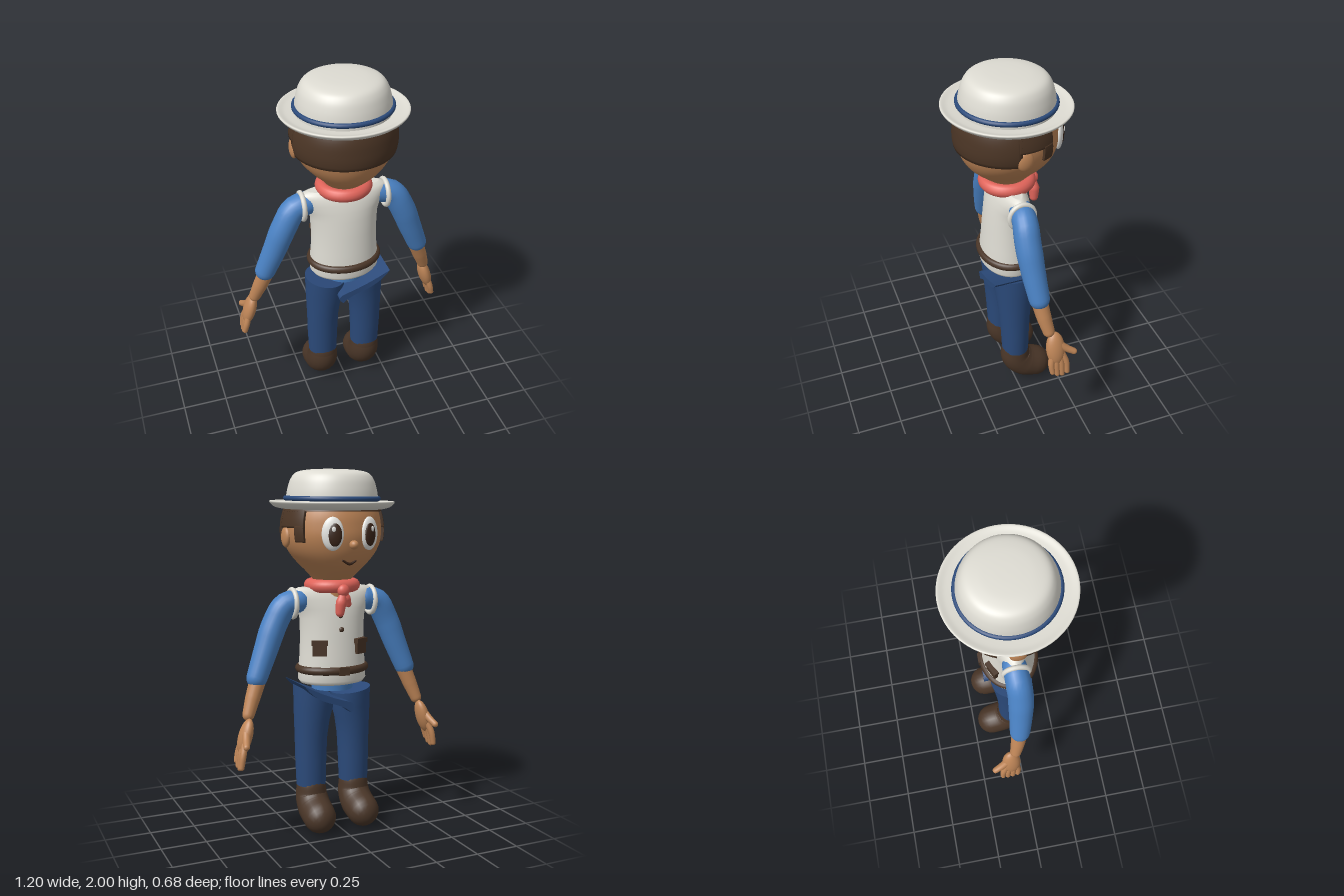
import * as THREE from 'three';
import { mergeVertices } from 'three/addons/utils/BufferGeometryUtils.js';

const V = (x, y, z) => new THREE.Vector3(x, y, z);
const paint = (name, color) => {
  const m = new THREE.MeshStandardMaterial({ color });
  m.name = name;
  return m;
};

// Smooth surface through rows of points (rows go up, columns counterclockwise)
function skin(rows) {
  const pos = [], idx = [], n = rows[0].length;
  rows.forEach(r => r.forEach(p => pos.push(p.x, p.y, p.z)));
  for (let i = 0; i < rows.length - 1; i++) for (let j = 0; j < n - 1; j++) {
    const a = i * n + j, b = a + 1, c = a + n, d = c + 1;
    idx.push(a, b, d, a, d, c);
  }
  let g = new THREE.BufferGeometry();
  g.setAttribute('position', new THREE.Float32BufferAttribute(pos, 3));
  g.setIndex(idx);
  g = mergeVertices(g, 1e-4);
  g.computeVertexNormals();
  return g;
}

// Closed body from elliptical sections [y, cx, cz, rx, rz, tilt]
function loft(sections, n = 32) {
  const ring = ([y, cx, cz, rx, rz, tilt = 0], k) => Array.from({ length: n + 1 }, (_, j) => {
    const a = (j % n) / n * Math.PI * 2, dx = k * rx * Math.sin(a);
    return V(cx + dx, y + tilt * dx, cz + k * rz * Math.cos(a));
  });
  const last = sections[sections.length - 1];
  return skin([ring(sections[0], 0), ring(sections[0], 0.99), ...sections.map(s => ring(s, 1)),
    ring(last, 0.99), ring(last, 0)]);
}

// Round-ended limb along a curve, with radii spread evenly along it
function sweep(points, radii, n = 20, steps = 20) {
  const curve = new THREE.CatmullRomCurve3(points.map(p => V(...p)));
  const f = curve.computeFrenetFrames(steps, false), rows = [];
  const ring = (i, r, push) => {
    const c = curve.getPointAt(i / steps).addScaledVector(f.tangents[i], push);
    rows.push(Array.from({ length: n + 1 }, (_, j) => {
      const a = (j % n) / n * Math.PI * 2;
      return c.clone().addScaledVector(f.normals[i], r * Math.cos(a)).addScaledVector(f.binormals[i], r * Math.sin(a));
    }));
  };
  const r0 = radii[0], r1 = radii[radii.length - 1];
  for (let k = 6; k > 0; k--) ring(0, r0 * Math.cos(k * Math.PI / 12), -r0 * Math.sin(k * Math.PI / 12));
  for (let i = 0; i <= steps; i++) {
    const t = i / steps * (radii.length - 1), k = Math.min(Math.floor(t), radii.length - 2);
    ring(i, THREE.MathUtils.lerp(radii[k], radii[k + 1], t - k), 0);
  }
  for (let k = 1; k <= 6; k++) ring(steps, r1 * Math.cos(k * Math.PI / 12), r1 * Math.sin(k * Math.PI / 12));
  return skin(rows);
}

const ball = (rx, ry, rz) => new THREE.SphereGeometry(1, 24, 16).scale(rx, ry, rz);
const hoop = (r, tube) => new THREE.TorusGeometry(r, tube, 14, 48).rotateX(Math.PI / 2);

// Head width (x) and depth (z) at even heights from 1.40 to 1.85
const headCurve = new THREE.CatmullRomCurve3([[.1, .1], [.14, .165], [.19, .215], [.232, .245], [.258, .262],
  [.27, .27], [.27, .268], [.262, .262], [.245, .245], [.21, .21]].map(([rx, rz], i) => V(rx, 1.4 + i * .05, rz)), false, 'catmullrom');
const headAt = y => headCurve.getPoint((y - 1.4) / .45);

// Raised patch of hair on the head, between two angles (0 = rear) and two heights
function hairPatch(a0, a1, y0, y1) {
  const n = 40, d = .014, rows = [];
  for (let i = -1; i <= 11; i++) {
    const y = THREE.MathUtils.lerp(y0, y1, THREE.MathUtils.clamp(i / 10, 0, 1)), h = headAt(y), row = [];
    for (let j = -1; j <= n + 1; j++) {
      const a = THREE.MathUtils.lerp(a0, a1, THREE.MathUtils.clamp(j / n, 0, 1));
      const o = i < 0 || i > 10 || j < 0 || j > n ? -.004 : d;
      row.push(V((h.x + o) * Math.sin(a), y, (h.z + o) * Math.cos(a)));
    }
    rows.push(row);
  }
  return skin(rows);
}

export function createModel() {
  const model = new THREE.Group();
  const tan = paint('skin', 0xbe8557), cream = paint('cream cloth', 0xdedcd3), blue = paint('shirt blue', 0x4a82c4);
  const navy = paint('trouser blue', 0x2b4a7a), brown = paint('hair brown', 0x4b3525), leather = paint('boot leather', 0x4a3628);
  const coral = paint('coral scarf', 0xe0645a), white = paint('eye white', 0xeeeeea), dark = paint('pupil', 0x3a2519);
  const add = (name, geo, mat, p = [0, 0, 0], parent = model) => {
    const m = new THREE.Mesh(geo, mat);
    m.name = name;
    m.position.set(...p);
    parent.add(m);
    return m;
  };

  // Head and hair
  add('head', loft(Array.from({ length: 31 }, (_, i) => {
    const h = headAt(1.4 + i * .015);
    return [h.y, 0, 0, h.x, h.z];
  }), 48), tan);
  add('neck', new THREE.CylinderGeometry(.09, .09, .14, 24), tan, [0, 1.38, 0]);
  add('hairBack', hairPatch(-1.5, 1.5, 1.61, 1.8), brown);
  add('hairFringe', hairPatch(1.5, 2 * Math.PI - 1.5, 1.775, 1.81), brown);
  add('nose', ball(.024, .024, .028), tan, [0, 1.605, -.278]);
  add('mouth', sweep([[-.036, 1.518, -.226], [0, 1.503, -.227], [.04, 1.522, -.226]], [.005, .008, .005], 10), dark);

  for (const s of [-1, 1]) {
    const patch = (a0, a1, y0, y1) => s > 0 ? hairPatch(a0, a1, y0, y1) : hairPatch(-a1, -a0, y0, y1);
    add('hairSide', patch(1.45, 2.17, 1.69, 1.8), brown);
    add('sideburn', patch(1.95, 2.17, 1.615, 1.7), brown);
    add('ear', ball(.022, .056, .045), tan, [s * .27, 1.64, 0]);

    // Eye with iris and glint
    const eye = new THREE.Group();
    eye.name = 'eye';
    eye.position.set(s * .105, 1.662, -.243);
    eye.rotation.y = -s * .35;
    model.add(eye);
    add('eyeWhite', ball(.058, .088, .026), white, [0, 0, 0], eye);
    add('pupil', ball(.037, .06, .013), dark, [-s * .01, -.005, -.018], eye);
    add('glint', ball(.011, .014, .004), white, [-s * .004, .024, -.029], eye);

    // Arm
    add('sleeve', sweep([[s * .2, 1.295, -.005], [s * .275, 1.275, 0], [s * .335, 1.18, .005], [s * .4, 1.02, -.005], [s * .452, .89, -.018]],
      [.064, .07, .07, .064, .057]), blue);
    add('forearm', sweep([[s * .45, .87, -.02], [s * .485, .78, -.035], [s * .515, .7, -.052]], [.045, .041, .033]), tan);

    // Hand
    const palm = add('palm', ball(.036, .1, .053), tan, [s * .545, .59, -.083]);
    palm.rotation.z = s * .29;
    for (let i = 0; i < 4; i++) {
      const z = -.053 - i * .029, drop = [.455, .435, .428, .437][i];
      add('finger', sweep([[s * .558, .56, -.06 - i * .018], [s * .576, .5, z + .004], [s * .587, drop, z]], [.019, .018, .015], 12, 8), tan);
    }
    add('thumb', sweep([[s * .54, .63, -.09], [s * .558, .585, -.14], [s * .572, .56, -.182]], [.022, .021, .018], 12, 8), tan);

    // Armhole edge
    add('armholeEdge', new THREE.TorusGeometry(.068, .014, 10, 32).rotateY(Math.PI / 2).scale(1, 1.08, 1), cream, [s * .236, 1.282, 0]);

    // Leg, its open waist end slanting, and boot
    const top = s > 0 ? [.78, .4] : [.783, -.16];
    add('trouserLeg', loft([[.25, s * .132, -.005, .084, .078], [.4, s * .132, -.002, .089, .083], [.52, s * .13, 0, .092, .09],
      [.62, s * .124, 0, .1, .1], [.69, s * .115, 0, .111, .108], [top[0], s * .113, 0, .113, .12, top[1]]]), navy);
    add('boot', sweep([[s * .132, .24, -.005], [s * .132, .18, -.01], [s * .132, .125, -.055], [s * .134, .093, -.13]],
      [.083, .091, .095, .092]), leather);

    // Vest pocket
    const pocket = add('pocket', new THREE.BoxGeometry(.078, .082, .022), leather, [s * .122, 1.04, -.112]);
    pocket.rotation.y = -s * .45;
    const flap = add('pocketFlap', new THREE.BoxGeometry(.088, .026, .03), leather, [s * .123, 1.072, -.113]);
    flap.rotation.y = -s * .45;
  }

  // Vest, buttons and belt
  add('vest', loft([[.828, 0, 0, .15, .115], [.836, 0, 0, .183, .14], [.855, 0, 0, .196, .152], [.92, 0, 0, .194, .15], [1.0, 0, 0, .187, .141],
    [1.1, 0, 0, .185, .131], [1.2, 0, 0, .19, .118], [1.25, 0, 0, .205, .108], [1.3, 0, 0, .234, .096], [1.335, 0, 0, .245, .08],
    [1.355, 0, 0, .235, .066], [1.367, 0, 0, .2, .05]], 48), cream);
  for (const y of [1.14, 1.215]) add('button', ball(.014, .014, .01), leather, [0, y, y > 1.2 ? -.117 : -.129]);
  add('belt', hoop(.19, .022).scale(1, 1, .8), leather, [0, .915, 0]);
  add('buckle', new THREE.BoxGeometry(.06, .045, .012), leather, [0, .915, -.168]);
  add('shirtHem', new THREE.CylinderGeometry(.12, .115, .06, 32), blue, [0, .827, 0]);

  // Slanted wedge of cloth at the waist
  const wedge = new THREE.Shape();
  wedge.moveTo(.227, .847);
  wedge.quadraticCurveTo(.08, .77, -.03, .742);
  wedge.quadraticCurveTo(-.1, .72, -.048, .678);
  wedge.quadraticCurveTo(-.01, .715, .06, .735);
  wedge.quadraticCurveTo(.17, .765, .227, .847);
  add('waistWedge', new THREE.ExtrudeGeometry(wedge, { depth: .3, bevelEnabled: false, curveSegments: 10 }), navy, [0, 0, -.155]);

  // Neckerchief with knot and tails
  add('neckerchief', hoop(.119, .036), coral, [0, 1.375, 0]);
  add('knot', ball(.034, .034, .028), coral, [0, 1.355, -.15]);
  add('longTail', sweep([[0, 1.345, -.148], [.014, 1.29, -.152], [.02, 1.237, -.15]], [.016, .03, .024], 14, 10), coral);
  add('shortTail', sweep([[0, 1.345, -.146], [-.022, 1.31, -.143], [-.034, 1.28, -.138]], [.016, .024, .018], 14, 10), coral);

  // Hat, tipped slightly to the face
  const hat = new THREE.Group();
  hat.name = 'hat';
  hat.position.y = 1.8;
  hat.rotation.x = -.022;
  model.add(hat);
  const lathe = pts => new THREE.LatheGeometry(new THREE.SplineCurve(pts.map(p => new THREE.Vector2(...p))).getPoints(40), 56);
  add('brim', lathe([[0, -.01], [.15, -.014], [.25, -.014], [.31, -.003], [.338, .02], [.334, .031], [.3, .022], [.25, .016]]), cream, [0, 0, 0], hat);
  add('crown', lathe([[.252, .01], [.25, .05], [.241, .1], [.224, .148], [.195, .18], [.14, .194], [.07, .199], [0, .2]]), cream, [0, 0, 0], hat);
  add('hatBand', hoop(.252, .013), navy, [0, .044, 0], hat);

  return model;
}
